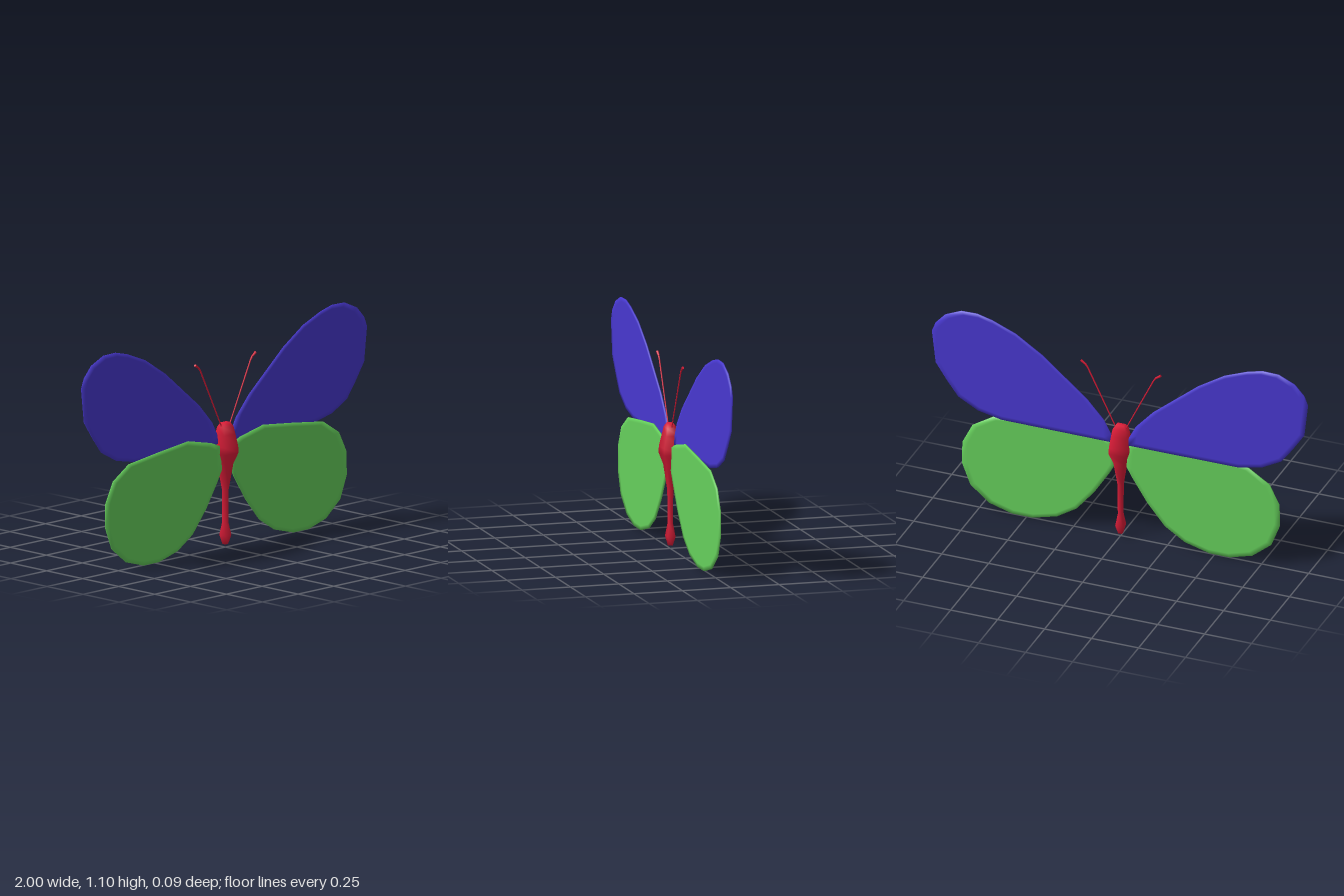
import * as THREE from 'three';

const red = new THREE.MeshStandardMaterial({ color: 0xdc1c38 });
const blue = new THREE.MeshStandardMaterial({ color: 0x4838d0 });
const green = new THREE.MeshStandardMaterial({ color: 0x66d05c });

// Thin plate from a counter-clockwise outline, with normals that roll over the rim
function wingGeometry(outline, z, half) {
  const pts = outline.map(([x, y]) => new THREE.Vector2(x, y));
  const n = pts.length;
  const centre = pts.reduce((s, p) => s.add(p), new THREE.Vector2()).divideScalar(n);
  const pos = [], nor = [], idx = [];
  // rings: front inner, front rim, back rim, back inner
  for (const [scale, side, roll] of [[0.93, 1, 0], [1, 1, 1], [1, -1, 1], [0.93, -1, 0]]) {
    pts.forEach((p, i) => {
      const q = centre.clone().lerp(p, scale);
      const t = pts[(i + 1) % n].clone().sub(pts[(i + n - 1) % n]).normalize();
      const normal = new THREE.Vector3(t.y * roll, -t.x * roll, side).normalize();
      pos.push(q.x, q.y, z + side * half);
      nor.push(...normal);
    });
  }
  for (let r = 0; r < 3; r++) {
    for (let i = 0; i < n; i++) {
      const j = (i + 1) % n, a = r * n;
      idx.push(a + i, a + n + i, a + n + j, a + i, a + n + j, a + j);
    }
  }
  for (const [a, b, c] of THREE.ShapeUtils.triangulateShape(pts, [])) {
    idx.push(a, b, c, 3 * n + a, 3 * n + c, 3 * n + b);
  }
  const g = new THREE.BufferGeometry();
  g.setAttribute('position', new THREE.Float32BufferAttribute(pos, 3));
  g.setAttribute('normal', new THREE.Float32BufferAttribute(nor, 3));
  g.setIndex(idx);
  return g;
}

// Mirrored outline, reversed so that it stays counter-clockwise
const mirror = (outline) => outline.map(([x, y]) => [-x, y]).reverse();

// Tapered rod between two points
function rod(a, b, ra, rb) {
  const dir = b.clone().sub(a);
  const mesh = new THREE.Mesh(new THREE.CylinderGeometry(rb, ra, dir.length(), 6), red);
  mesh.position.copy(a).add(b).multiplyScalar(0.5);
  mesh.quaternion.setFromUnitVectors(new THREE.Vector3(0, 1, 0), dir.normalize());
  return mesh;
}

export function createModel() {
  const model = new THREE.Group();
  const add = (name, geometry, material) => {
    const mesh = new THREE.Mesh(geometry, material);
    mesh.name = name;
    model.add(mesh);
    return mesh;
  };

  // Body: four-sided, smooth-shaded, from tail to head
  const profile = [
    [0, 0.024], [0.01, 0.024], [0.021, 0.07], [0.011, 0.135], [0.012, 0.3],
    [0.028, 0.43], [0.046, 0.485], [0.045, 0.52], [0.039, 0.58], [0.034, 0.618],
    [0.021, 0.64], [0, 0.64],
  ].map(([r, y]) => new THREE.Vector2(r * Math.SQRT2, y));
  const bodyGeo = new THREE.LatheGeometry(profile, 4, Math.PI / 4);
  // flatten the head a little from front to back
  const p = bodyGeo.attributes.position;
  for (let i = 0; i < p.count; i++) {
    const k = Math.max(0, p.getY(i) - 0.52) / 0.12;
    p.setZ(i, p.getZ(i) * (1 - 0.38 * k));
  }
  add('body', bodyGeo, red);

  // Wings, outlined for the left (+x) side
  const upper = [
    [0.045, 0.535], [0.63, 0.537], [0.755, 0.563], [0.86, 0.62], [0.92, 0.7], [0.98, 0.79],
    [1, 0.965], [0.98, 1.015], [0.93, 1.07], [0.845, 1.108], [0.76, 1.11], [0.68, 1.09],
    [0.555, 1.04], [0.415, 0.95], [0.175, 0.75], [0.085, 0.65], [0.048, 0.58],
  ];
  const lower = [
    [0.03, 0.405], [0.06, 0.35], [0.14, 0.225], [0.235, 0.11], [0.34, 0.043], [0.47, 0.008],
    [0.58, 0.008], [0.7, 0.043], [0.8, 0.125], [0.845, 0.24], [0.843, 0.36], [0.79, 0.465],
    [0.68, 0.535], [0.47, 0.562], [0.262, 0.585], [0.1, 0.55], [0.04, 0.525],
  ];
  add('leftUpperWing', wingGeometry(upper, -0.009, 0.003), blue);
  add('rightUpperWing', wingGeometry(mirror(upper), -0.009, 0.003), blue);
  add('leftLowerWing', wingGeometry(lower, 0.004, 0.003), green);
  add('rightLowerWing', wingGeometry(mirror(lower), 0.004, 0.003), green);

  // Antennae: thin stalk with a bent, thicker club
  for (const side of [1, -1]) {
    const antenna = new THREE.Group();
    antenna.name = side > 0 ? 'leftAntenna' : 'rightAntenna';
    const path = [[0.022, 0.61], [0.175, 0.925], [0.187, 0.942], [0.212, 0.96]]
      .map(([x, y]) => new THREE.Vector3(side * x, y, 0.001));
    const radii = [0.003, 0.004, 0.005, 0.007];
    for (let i = 0; i < 3; i++) {
      const part = rod(path[i], path[i + 1], radii[i], radii[i + 1]);
      part.name = i ? 'antennaClub' : 'antennaStalk';
      antenna.add(part);
    }
    model.add(antenna);
  }
  return model;
}
